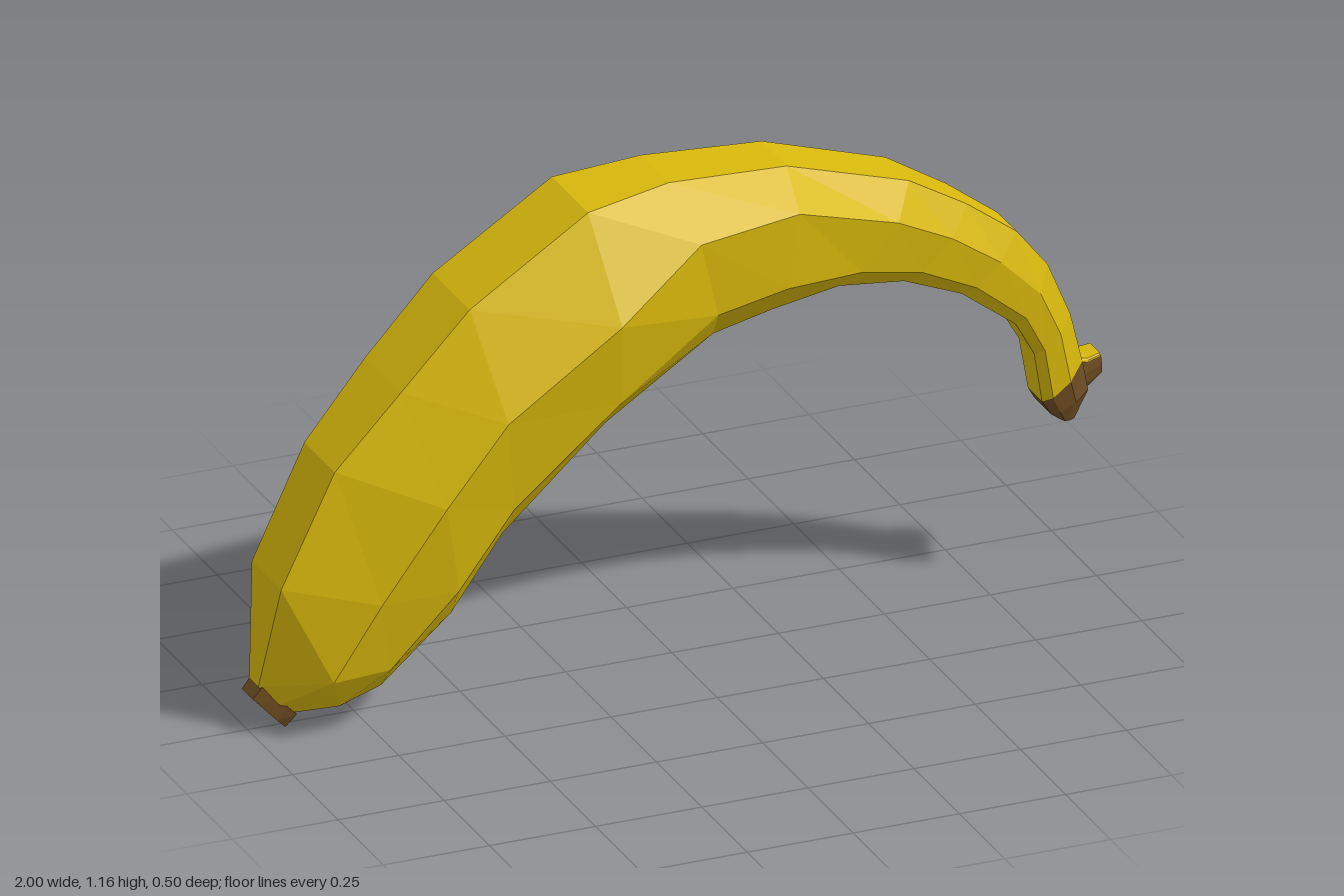
import * as THREE from 'three';
import { toCreasedNormals } from 'three/addons/utils/BufferGeometryUtils.js';

const yellow = new THREE.MeshStandardMaterial({ color: 0xd9b90c });
yellow.name = 'banana yellow';
const brown = new THREE.MeshStandardMaterial({ color: 0x6b4a20 });
brown.name = 'stem brown';

const SIDES = 8;

// Eight-sided section: o = outer curve point, i = inner curve point, w = half width,
// t = where it is widest (0 outer, 1 inner), a / b / c = share of w at the
// outer face, the inner face and the lower shoulder
function section([ox, oy, ix, iy, w, t = 0.4, a = 0.42, b = 0.4, c = 0.8]) {
  const half = [[0, a], [t, 1], [t + (1 - t) * 0.7, c], [1, b]];
  const at = (sign) => ([s, z]) => [ox + (ix - ox) * s, oy + (iy - oy) * s, sign * z * w];
  return [...half.map(at(1)), ...half.reverse().map(at(-1))];
}

// Half flat, half smooth normals: facets with soft edges
function soften(geometry) {
  const smooth = toCreasedNormals(geometry, 1.2).attributes.normal;
  geometry.computeVertexNormals();
  const flat = geometry.attributes.normal;
  const f = new THREE.Vector3(), s = new THREE.Vector3();
  for (let i = 0; i < flat.count; i++) {
    f.fromBufferAttribute(flat, i);
    f.lerp(s.fromBufferAttribute(smooth, i), 0.55).normalize();
    flat.setXYZ(i, f.x, f.y, f.z);
  }
}

// Faceted skin through the sections, with optional end caps
function loft(name, rows, material, capStart, capEnd) {
  const rings = rows.map(section);
  const pos = [];
  const tri = (...p) => p.forEach((v) => pos.push(...v));
  for (let k = 0; k < rings.length - 1; k++) {
    for (let j = 0; j < SIDES; j++) {
      const n = (j + 1) % SIDES;
      const a = rings[k][j], b = rings[k][n], c = rings[k + 1][n], d = rings[k + 1][j];
      // diagonals mirrored across z = 0
      if (j < SIDES / 2) tri(a, b, c, a, c, d);
      else tri(a, b, d, b, c, d);
    }
  }
  const first = rings[0], last = rings[rings.length - 1];
  for (let j = 1; j < SIDES - 1; j++) {
    if (capStart) tri(first[0], first[j + 1], first[j]);
    if (capEnd) tri(last[0], last[j], last[j + 1]);
  }
  const g = new THREE.BufferGeometry();
  g.setAttribute('position', new THREE.Float32BufferAttribute(pos, 3));
  soften(g);
  const mesh = new THREE.Mesh(g, material);
  mesh.name = name;
  return mesh;
}

export function createModel() {
  const group = new THREE.Group();
  group.name = 'banana';

  // Curved body, from the blossom end over the arch to the stem
  group.add(loft('peel', [
    [-0.985, 0.11, -0.905, 0.03, 0.05, 0.5, 0.5, 0.3],
    [-0.955, 0.36, -0.81, 0.03, 0.162, 0.62, 0.5, 0.14, 0.62],
    [-0.83, 0.62, -0.71, 0.08, 0.2, 0.52, 0.42, 0.3, 0.76],
    [-0.68, 0.79, -0.56, 0.24, 0.235, 0.42],
    [-0.52, 0.96, -0.44, 0.41, 0.243, 0.4],
    [-0.24, 1.14, -0.2, 0.63, 0.25, 0.42, 0.4],
    [-0.04, 1.165, 0.06, 0.79, 0.192, 0.28, 0.4, 0.45, 0.86],
    [0.24, 1.15, 0.2, 0.82, 0.165, 0.22, 0.42, 0.5, 0.92],
    [0.53, 1.06, 0.36, 0.845, 0.13, 0.3, 0.5, 0.6, 0.95],
    [0.67, 0.975, 0.52, 0.82, 0.103, 0.35, 0.55, 0.6, 0.95],
    [0.79, 0.885, 0.66, 0.76, 0.087, 0.4, 0.6, 0.6, 0.95],
    [0.865, 0.79, 0.79, 0.66, 0.078, 0.4, 0.6, 0.6, 0.95],
    [0.92, 0.66, 0.835, 0.58, 0.071, 0.4, 0.6, 0.6, 0.95],
    [0.95, 0.54, 0.855, 0.46, 0.065, 0.4, 0.6, 0.6, 0.95],
  ], yellow));

  // Brown nub at the blossom end, with a keeled underside
  group.add(loft('blossomTip', [
    [-1.0, 0.085, -0.918, 0.0, 0.05, 0.6, 0.6, 0.1, 0.8],
    [-0.975, 0.115, -0.895, 0.03, 0.055, 0.6, 0.6, 0.3, 0.9],
  ], brown, true, true));

  // Brown cut end of the stem
  group.add(loft('stemEnd', [
    [0.95, 0.54, 0.855, 0.46, 0.065, 0.4, 0.6, 0.6, 0.95],
    [0.958, 0.475, 0.873, 0.43, 0.065, 0.4, 0.8, 0.75, 0.95],
    [0.927, 0.41, 0.9, 0.41, 0.052, 0.5, 0.9, 0.9, 1],
  ], brown, false, true));

  // Small tapered spur on the outside of the stem end, with a yellow top
  group.add(loft('stemSpur', [
    [0.92, 0.535, 0.93, 0.465, 0.045, 0.4, 0.9, 0.8, 0.95],
    [0.965, 0.533, 0.968, 0.475, 0.038, 0.4, 0.9, 0.8, 0.95],
    [0.998, 0.54, 1.0, 0.497, 0.033, 0.4, 0.9, 0.8, 0.95],
  ], brown, false, true));
  group.add(loft('spurTop', [
    [0.93, 0.55, 0.93, 0.535, 0.04, 0.4, 0.9, 0.9, 1],
    [0.965, 0.54, 0.965, 0.532, 0.035, 0.4, 0.9, 0.9, 1],
    [0.996, 0.546, 0.996, 0.538, 0.03, 0.4, 0.9, 0.9, 1],
  ], yellow, false, true));

  return group;
}
